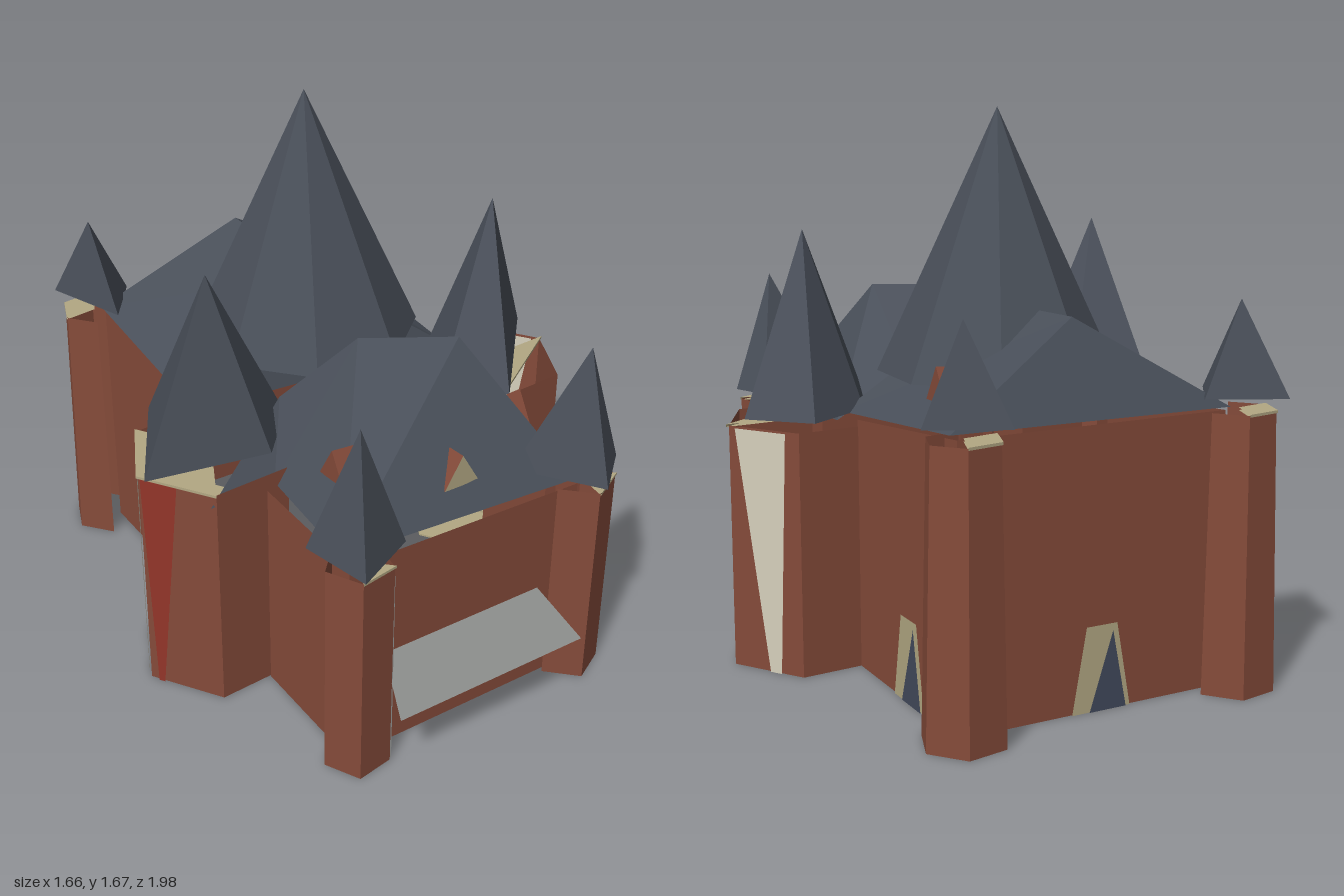
import * as THREE from 'three';

const mat = (name, color) => {
  const m = new THREE.MeshStandardMaterial({ color, side: THREE.DoubleSide, flatShading: true });
  m.name = name;
  return m;
};
const brick = mat('brick', 0x854b3a), slate = mat('slate', 0x494f59), cream = mat('cream', 0xd6d0bc),
  beige = mat('beige', 0xb3a883), red = mat('red', 0x93352a), grey = mat('grey', 0x8c8e8c), glass = mat('glass', 0x424a5c);

function part(name, geometry, material, y = 0) {
  const mesh = new THREE.Mesh(geometry, material);
  mesh.name = name;
  mesh.position.y = y;
  return mesh;
}

// flat faceted surface from a list of polygons of [x, y, z] corners
function faces(name, polygons, material) {
  const v = [];
  for (const p of polygons)
    for (let i = 1; i < p.length - 1; i++) v.push(...p[0], ...p[i], ...p[i + 1]);
  const g = new THREE.BufferGeometry();
  g.setAttribute('position', new THREE.Float32BufferAttribute(v, 3));
  g.computeVertexNormals();
  return part(name, g, material);
}

// thin upright panel of [across, up] corners, facing the given angle at a distance
function panel(name, corners, material, angle, distance, offset = 0) {
  const shape = new THREE.Shape(corners.map(c => new THREE.Vector2(...c)));
  const mesh = part(name, new THREE.ShapeGeometry(shape).translate(offset, 0, distance), material);
  mesh.rotation.y = angle;
  return mesh;
}

// pointed roof over a ring of [x, z] points around its apex
function spire(ring, y, top) {
  const base = ring.map(([x, z]) => [x, y, z]);
  const sides = base.map((p, i) => [p, base[(i + 1) % base.length], [0, top, 0]]);
  return faces('spire', [...sides, [...base].reverse()], slate);
}

// many-sided tower, open towards the wings; arc and ledge count wall sides as [first, how many]
function tower(name, { x, z, r, n, turn = 0, h, taper = 1, arc, ledge, roof, floors = [] }) {
  const g = new THREE.Group(), step = 2 * Math.PI / n;
  g.name = name;
  g.position.set(x, 0, z);
  g.add(part('towerWalls', new THREE.CylinderGeometry(r * taper, r, h, arc[1], 1, true,
    turn + arc[0] * step, arc[1] * step), brick, h / 2));
  const [first, count, pieces = count] = ledge, wide = r * taper * 1.04;
  g.add(part('towerLedge', new THREE.CylinderGeometry(wide, wide, 0.008, pieces, 1, false,
    turn + first * step, count * step), beige, h));
  for (const y of floors)
    g.add(part('towerFloor', new THREE.CylinderGeometry(r * 0.99, r * 0.99, 0.006, n, 1, false, turn), beige, y));
  g.add(spire(roof.ring, roof.y, roof.top));
  return g;
}

// open-ended run of wall along [x, z, height] points
const wallRun = path => faces('wingWalls', path.slice(1).map(([x, z, h], i) => {
  const [px, pz, ph] = path[i];
  return [[px, 0, pz], [x, 0, z], [x, h, z], [px, ph, pz]];
}), brick);

// pointed doorway with a pale surround
function door(angle, distance, offset) {
  const g = new THREE.Group();
  g.name = 'door';
  g.add(panel('doorSurround', [[-0.095, 0], [0.095, 0], [0.05, 0.25], [-0.05, 0.25]], beige, angle, distance + 0.006, offset));
  g.add(panel('doorOpening', [[-0.04, 0], [0.08, 0], [0.035, 0.23]], glass, angle, distance + 0.009, offset));
  return g;
}

// small gabled dormer
function dormer(x, y, z, angle, material) {
  const g = new THREE.Group();
  g.name = 'dormer';
  const l = [-0.06, 0, 0], r = [0.06, 0, 0], t = [0, 0.1, 0], k = [0, 0.09, -0.14];
  g.add(faces('dormerFront', [[l, r, t]], material), faces('dormerRoof', [[r, k, t], [l, t, k]], brick));
  g.position.set(x, y, z);
  g.rotation.y = angle;
  return g;
}

export function createModel() {
  const model = new THREE.Group();
  const side = Math.PI / 2;

  // both wings share one slanted axis
  const rear = new THREE.Group(), front = new THREE.Group();
  rear.name = 'rearWing';
  front.name = 'frontWing';
  rear.rotation.y = front.rotation.y = 0.46;
  model.add(rear, front);

  // rear wing: ridge runs towards the central spire
  rear.add(wallRun([[0.47, -0.08, 0.76], [0.47, -0.72, 0.82], [-0.39, -0.72, 0.82], [-0.39, -0.1, 0.77]]));
  const e = [[0.48, 0.77, 0.01], [0.48, 0.83, -0.7], [-0.4, 0.83, -0.73], [-0.42, 0.77, -0.05]];
  const rA = [0.045, 1.09, -0.09], rB = [0.045, 1.1, -0.59];
  rear.add(faces('rearRoof', [[e[0], e[1], rB, rA], [e[1], e[2], rB], [e[2], e[3], rA, rB], [e[3], e[0], rA]], slate));
  rear.add(door(Math.PI, 0.72, -0.02), door(side, 0.47, 0.43));
  rear.add(dormer(0.4, 0.87, -0.46, side, brick));

  // front wing: ridge runs across, valley behind it
  front.add(wallRun([[-0.4, 0.335, 0.69], [-0.4, 0.76, 0.68], [0.41, 0.76, 0.66], [0.41, 0.34, 0.69]]));
  const fA = [-0.08, 1.09, 0.32], fB = [0.17, 1.09, 0.47];
  const c = [[-0.59, 0.7, 0.34], [-0.36, 0.69, 0.31], [-0.39, 0.68, 0.71], [0.4, 0.68, 0.76],
    [0.45, 0.72, 0.12], [0.21, 0.86, 0.13], [-0.23, 0.85, 0.13]];
  front.add(faces('frontRoof', [[c[0], c[1], c[6]], [c[1], fA, c[6]], [c[1], c[2], fA], [c[2], c[3], fB, fA],
    [c[3], c[4], fB], [c[4], c[5], fB], [c[5], c[6], fA, fB]], slate));
  front.add(panel('sidePanel', [[-0.645, 0.67], [-0.575, 0.13], [-0.455, 0.67]], cream, side, 0.416));
  front.add(faces('canopy', [[[-0.33, 0.225, 0.92], [0.33, 0.225, 0.92], [0.28, 0.335, 0.765], [-0.28, 0.335, 0.765]]], grey));
  front.add(dormer(0.03, 0.75, 0.69, 0, beige), dormer(0.38, 0.77, 0.51, side, cream), dormer(-0.3, 0.79, 0.52, -side, brick));

  // central spire
  const central = part('centralSpire', new THREE.ConeGeometry(0.36, 0.78, 8), slate, 1.28);
  central.position.x = -0.03;
  central.position.z = -0.17;
  model.add(central);

  // front towers
  const frontTower = tower('frontTower', { x: 0.005, z: 0.85, r: 0.1, n: 5, h: 0.69, arc: [3, 4], ledge: [0, 1],
    roof: { ring: [[-0.14, -0.04], [0, 0.14], [0.135, -0.04], [-0.04, -0.15]], y: 0.72, top: 1.11 } });
  frontTower.add(panel('greyPanel', [[-0.05, 0.66], [-0.055, 0], [0.05, 0]], grey, Math.PI * 0.6, 0.087));
  model.add(frontTower);
  model.add(tower('frontCornerTower', { x: 0.715, z: 0.49, r: 0.105, n: 5, turn: side, h: 0.68, arc: [3, 4], ledge: [4, 1],
    roof: { ring: [[-0.21, 0], [0.04, 0.14], [0.115, -0.04], [0.01, -0.14]], y: 0.72, top: 1.11 } }));

  // rear towers
  const rearRoof = { ring: [[-0.13, -0.07], [0.08, 0.14], [0.11, -0.07]], y: 0.865, top: 1.14 };
  for (const [name, x, z, first] of [['rearCornerTower', -0.705, -0.48, 2], ['rearTower', 0.085, -0.87, 0]])
    model.add(tower(name, { x, z, r: 0.125, n: 6, turn: 0.1, h: 0.825, taper: 0.86,
      arc: [first, 4], ledge: [3, 2], roof: rearRoof }));

  // middle towers
  const middle = { r: 0.25, n: 6, h: 0.74, floors: [0.15, 0.3, 0.45] };
  const west = tower('middleRightTower', { ...middle, x: -0.36, z: 0.31, arc: [3, 4], ledge: [4, 2],
    roof: { ring: [[-0.18, -0.2], [-0.2, 0.21], [0.17, 0.1], [0.23, -0.13], [0.08, -0.19]], y: 0.775, top: 1.31 } });
  const east = tower('middleLeftTower', { ...middle, x: 0.55, z: -0.13, arc: [0, 4], ledge: [0, 2, 1],
    roof: { ring: [[-0.17, 0.18], [0.02, 0.29], [0.16, -0.21], [-0.05, -0.28], [-0.18, -0.06]], y: 0.775, top: 1.31 } });
  model.add(west, east);

  // tapering panels on the middle towers, seen from outside and inside
  for (const distance of [0.2105, 0.2225]) {
    east.add(panel('palePanel', [[-0.1, 0.735], [0.01, 0], [0.05, 0], [0.08, 0.735]], cream, Math.PI * 5 / 6, distance));
    west.add(panel('palePanel', [[0.01, 0.735], [0.06, 0], [0.1, 0], [0.11, 0.735]], cream, -side, distance));
    west.add(panel('redPanel', [[-0.12, 0.735], [-0.095, 0], [-0.075, 0], [0, 0.735]], red, -Math.PI / 6, distance));
  }

  // fin of wall between the east tower and the front wing
  model.add(faces('finWall', [[[0.62, 0, 0.38], [0.62, 0, 0.08], [0.6, 0.73, 0.1]]], brick));
  return model;
}
